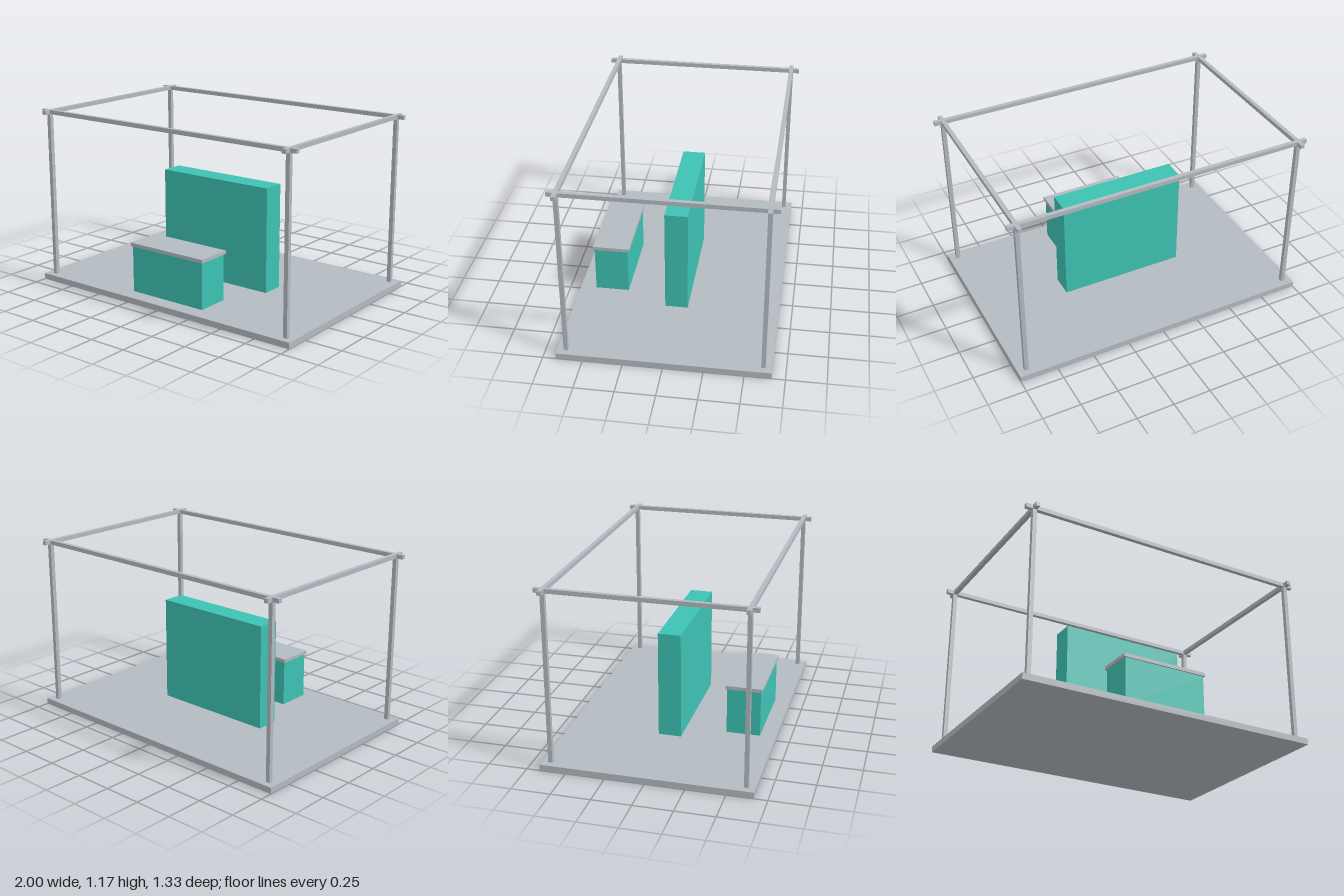
import * as THREE from 'three';

export function createModel() {
  const model = new THREE.Group();
  model.name = 'exhibitionBooth';

  const grey = new THREE.MeshStandardMaterial({ color: 0xb3bac0 });
  grey.name = 'grey';
  const teal = new THREE.MeshStandardMaterial({ color: 0x3dc2b3 });
  teal.name = 'teal';

  // Box given by its size, centre in plan, and underside height
  function addBox(name, material, [w, h, d], x, bottom, z) {
    const mesh = new THREE.Mesh(new THREE.BoxGeometry(w, h, d), material);
    mesh.name = name;
    mesh.position.set(x, bottom + h / 2, z);
    model.add(mesh);
  }

  const floorTop = 0.04;
  const height = 1.167;
  const bar = 0.027;
  const postX = 0.942;
  const postZ = 0.612;
  const depth = 1.333;

  addBox('floor', grey, [2, floorTop, depth], 0, 0, 0);

  // Corner posts
  for (const x of [-postX, postX]) {
    for (const z of [-postZ, postZ]) {
      addBox('post', grey, [bar, height - floorTop, bar], x, floorTop, z);
    }
  }

  // Top beams, crossing and overhanging at the corners
  for (const side of [-1, 1]) {
    addBox('longBeam', grey, [2, bar, bar], 0, height - bar, side * postZ);
    addBox('crossBeam', grey, [bar, bar, depth], side * postX, height - bar, 0);
  }

  // Display wall
  addBox('displayWall', teal, [0.84, 0.737 - floorTop, 0.148], 0, floorTop, 0);

  // Counter with overhanging top
  addBox('counterBody', teal, [0.563, 0.347 - floorTop, 0.22], 0, floorTop, 0.453);
  addBox('counterTop', grey, [0.583, 0.023, 0.24], 0, 0.347, 0.453);

  return model;
}
